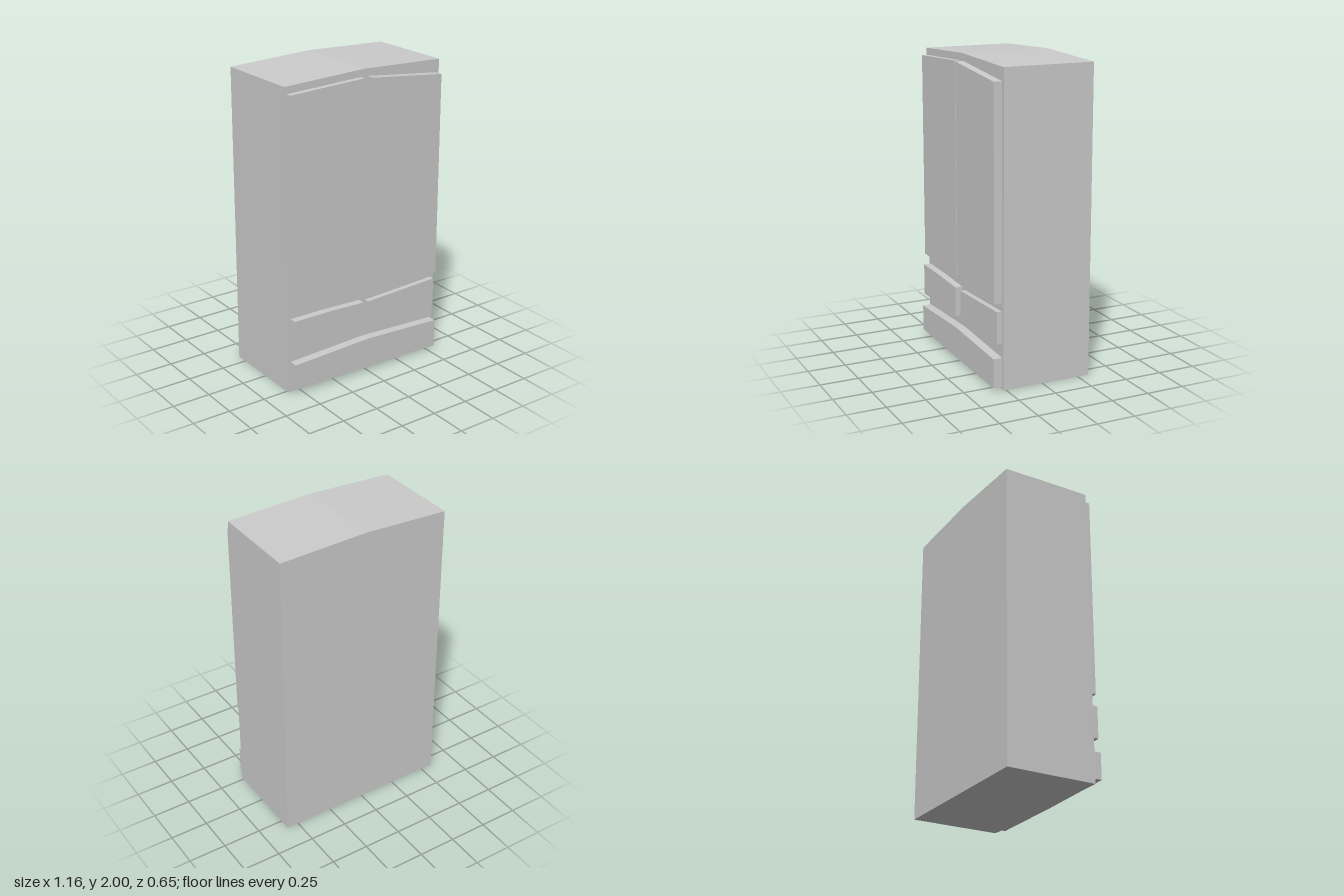
import * as THREE from 'three';

const BACK = -0.327, FACE = 0.268;

// Flat panel: front outline (counter-clockwise) extruded between two depths
function panel(name, outline, zBack, zFront) {
  const shape = new THREE.Shape(outline.map(([x, y]) => new THREE.Vector2(x, y)));
  const geometry = new THREE.ExtrudeGeometry(shape, { depth: zFront - zBack, bevelEnabled: false });
  geometry.translate(0, 0, zBack);
  const material = new THREE.MeshStandardMaterial({ color: 0xcccccc, flatShading: true });
  const mesh = new THREE.Mesh(geometry, material);
  mesh.name = name;
  return mesh;
}

export function createModel() {
  const group = new THREE.Group();
  group.name = 'wardrobe';

  // Cabinet with a shallow peaked top
  group.add(panel('cabinet', [
    [-0.58, 0], [0.578, 0], [0.578, 1.98], [0, 2], [-0.575, 1.975], [-0.577, 0.94],
  ], BACK, FACE));

  // Raised fronts: name, front depth, outline
  const fronts = [
    ['rightDoor', 0.306, [[-0.56, 0.58], [-0.03, 0.563], [-0.03, 1.953], [-0.56, 1.93]]],
    ['leftDoor', 0.322, [[0.016, 0.563], [0.556, 0.555], [0.556, 1.897], [0.016, 1.953]]],
    ['rightSmallDrawer', 0.316, [[-0.557, 0.296], [-0.03, 0.296], [-0.03, 0.492], [-0.3, 0.502], [-0.557, 0.504]]],
    ['leftSmallDrawer', 0.302, [[0.016, 0.296], [0.556, 0.296], [0.556, 0.503], [0.016, 0.481]]],
    ['bottomDrawer', 0.327, [[-0.56, 0.04], [0, 0.024], [0.556, 0.018], [0.556, 0.206], [0, 0.231], [-0.56, 0.21]]],
  ];
  for (const [name, depth, outline] of fronts) group.add(panel(name, outline, FACE, depth));

  return group;
}
